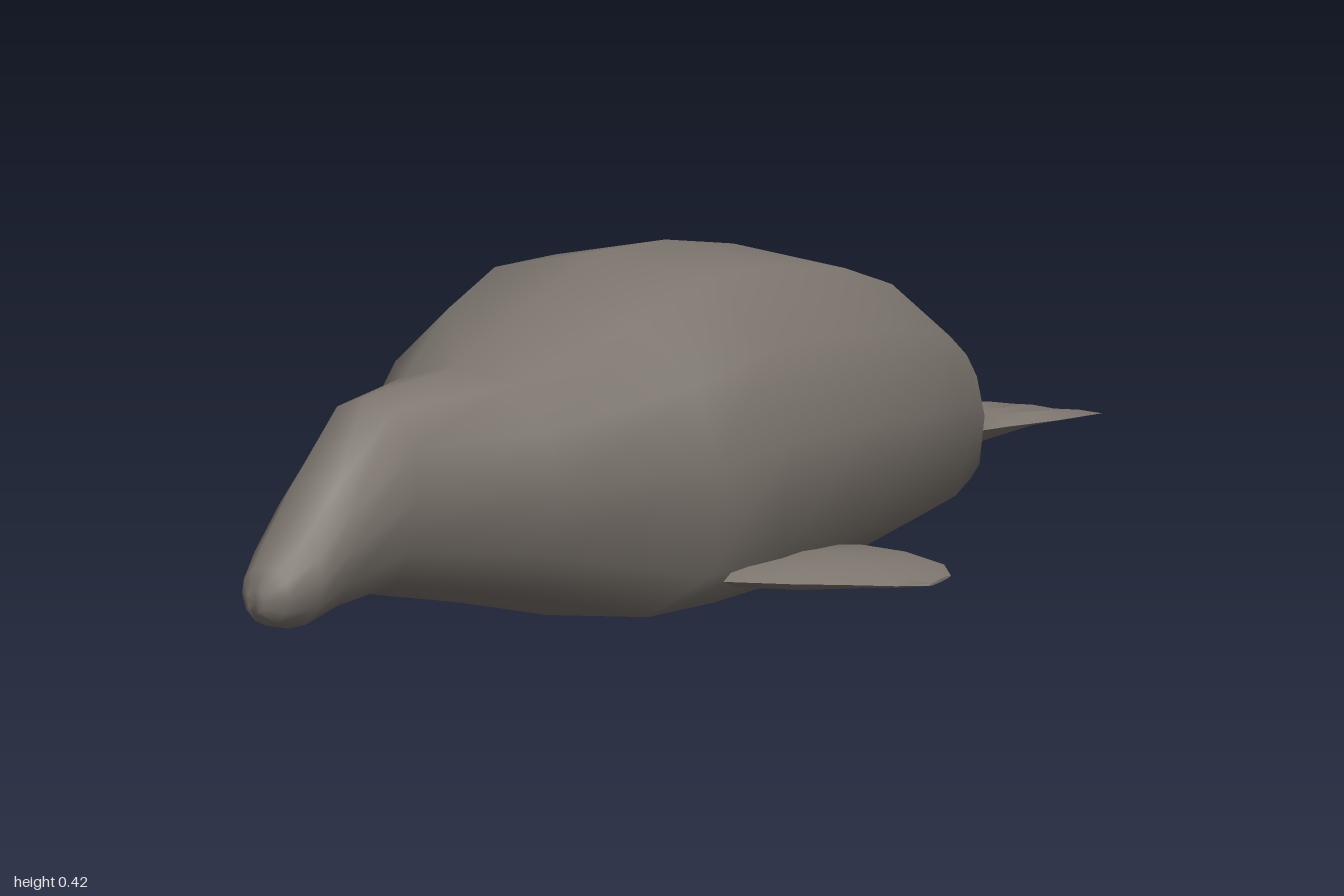
import * as THREE from 'three';
import { toCreasedNormals } from 'three/addons/utils/BufferGeometryUtils.js';

// Skin a list of rings (equal point counts) and close both ends
function loft(rings, crease) {
  const n = rings[0].length, pos = [], index = [];
  rings.forEach(r => r.forEach(p => pos.push(...p)));
  for (let i = 0; i < rings.length - 1; i++) {
    for (let j = 0; j < n; j++) {
      const a = i * n + j, b = i * n + (j + 1) % n;
      index.push(a, b, a + n, b, b + n, a + n);
    }
  }
  const cap = (start, flip) => {
    const c = pos.length / 3, m = [0, 0, 0];
    for (let j = 0; j < n; j++) for (let k = 0; k < 3; k++) m[k] += pos[(start + j) * 3 + k] / n;
    pos.push(...m);
    for (let j = 0; j < n; j++) {
      const a = start + j, b = start + (j + 1) % n;
      index.push(c, ...(flip ? [b, a] : [a, b]));
    }
  };
  cap(0, true);
  cap((rings.length - 1) * n, false);
  const g = new THREE.BufferGeometry();
  g.setAttribute('position', new THREE.Float32BufferAttribute(pos, 3));
  g.setIndex(index);
  return toCreasedNormals(g, crease);
}

// Half outlines, top to bottom: [x, y] in units of half width and height
const BELLY = [[0, 1], [0.57, 0.94], [0.91, 0.76], [1, 0.5], [0.95, 0.175], [0.6, 0.03], [0, 0]];
const ROUND = [[0, 1], [0.53, 0.94], [0.9, 0.76], [1, 0.52], [0.84, 0.24], [0.48, 0.06], [0, 0]];

function bodyRing([z, x0, x1, y0, y1]) {
  const cx = (x0 + x1) / 2, w = (x1 - x0) / 2;
  const half = z > 0.55 ? ROUND : BELLY;
  const pt = (s, [x, y]) => [cx + s * w * x, y0 + (y1 - y0) * y, z];
  return [...half.map(p => pt(1, p)), ...half.slice(1, -1).reverse().map(p => pt(-1, p))];
}

// Body stations from nose to tail: z, x min, x max, y min, y max
const BODY = [
  [1.0, -0.06, -0.04, 0.105, 0.13],
  [0.985, -0.078, -0.02, 0.09, 0.15],
  [0.95, -0.092, -0.003, 0.08, 0.18],
  [0.9, -0.098, 0.006, 0.088, 0.23],
  [0.82, -0.105, 0.03, 0.092, 0.303],
  [0.65, -0.165, 0.1, 0.05, 0.315],
  [0.48, -0.25, 0.2, 0.003, 0.378],
  [0.37, -0.268, 0.238, 0.0, 0.418],
  [0.22, -0.283, 0.265, 0.0, 0.42],
  [0.04, -0.285, 0.266, 0.0, 0.4],
  [-0.15, -0.262, 0.232, 0.0, 0.358],
  [-0.34, -0.222, 0.17, 0.0, 0.292],
  [-0.5, -0.175, 0.113, 0.004, 0.222],
  [-0.66, -0.122, 0.037, 0.016, 0.135],
  [-0.755, -0.053, -0.047, 0.06, 0.07],
];

// Front flipper stations: x, z trailing, z leading, y centre, half thickness
const FLIPPER = [
  [0.2, 0.25, 0.46, 0.06, 0.017],
  [0.265, 0.2, 0.42, 0.056, 0.018],
  [0.31, 0.175, 0.37, 0.05, 0.013],
  [0.35, 0.18, 0.32, 0.043, 0.008],
  [0.372, 0.21, 0.275, 0.037, 0.002],
];

function flipper(side) {
  return loft(FLIPPER.map(([x, z0, z1, y, t]) => {
    const ring = [];
    for (let j = 0; j < 8; j++) {
      const a = j / 8 * Math.PI * 2;
      ring.push([side * x - 0.003, y + t * Math.cos(a), (z0 + z1) / 2 + (z1 - z0) / 2 * Math.sin(a)]);
    }
    return side > 0 ? ring : ring.reverse();
  }), 1);
}

// Tail fan stations: z, inner and outer distance from the tail axis, y centre, half thickness
const FAN = [
  [-0.755, 0.004, 0.042, 0.046, 0.026],
  [-0.81, 0.002, 0.068, 0.047, 0.022],
  [-0.89, 0.0, 0.122, 0.05, 0.014],
  [-0.97, -0.006, 0.163, 0.053, 0.002],
];

function tailFan(side) {
  const top = [[0, 0], [0.25, 1], [0.5, 0.35], [0.75, 0.9], [1, 0]]; // pleated upper edge
  const under = [[0.75, -0.4], [0.5, -1], [0.25, -0.4]];
  return loft(FAN.map(([z, a, b, y, t], i) => {
    const ring = [...top, ...under].map(([u, v]) => {
      const notch = i === 3 ? 0.03 * (1 - u) - (u === 0.5 ? 0.015 : 0) : 0;
      return [-0.047 + side * (a + (b - a) * u), y + t * v, z - notch];
    });
    return side > 0 ? ring : ring.reverse();
  }), 0.6);
}

export function createModel() {
  const model = new THREE.Group();
  model.name = 'seal';
  const skin = new THREE.MeshStandardMaterial({ color: 0x7b746d });
  skin.name = 'grey brown skin';
  const add = (name, geometry) => {
    const mesh = new THREE.Mesh(geometry, skin);
    mesh.name = name;
    model.add(mesh);
  };

  add('body', loft(BODY.map(bodyRing), 1.2));
  for (const [side, label] of [[1, 'left'], [-1, 'right']]) {
    add(label + 'FrontFlipper', flipper(side));
    add(label + 'TailFan', tailFan(side));
  }
  return model;
}
